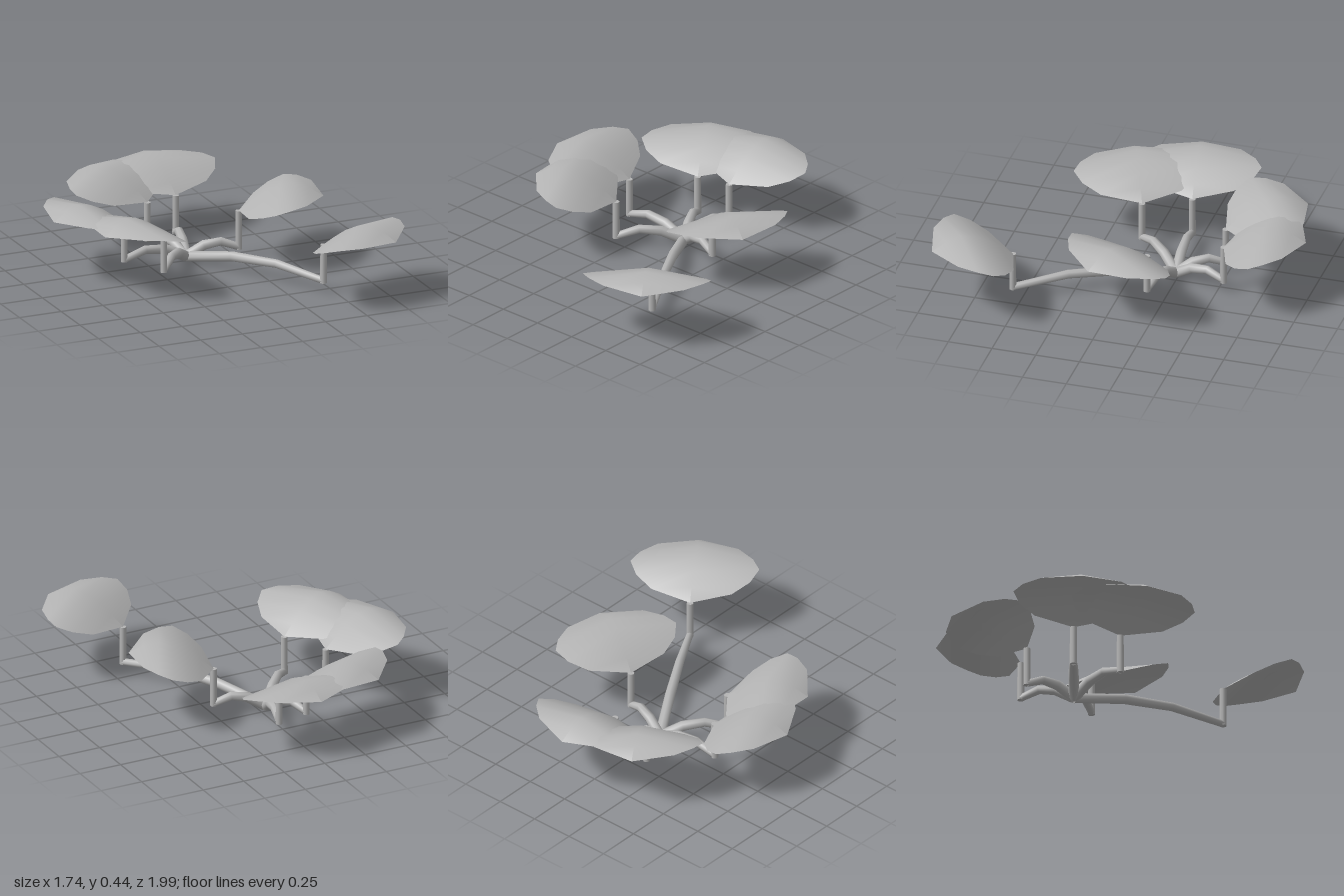
import * as THREE from 'three';
import { toCreasedNormals } from 'three/addons/utils/BufferGeometryUtils.js';

const HUB = new THREE.Vector3(-0.03, 0.03, -0.24);
const POST_TOP = 0.28;

// Each arm: where its post stands [x, z] and where its leaf tip lies [x, z]
const ARMS = [
  { foot: [0.44, 0.55], tip: [0.7, 0.93] },
  { foot: [0.25, -0.16], tip: [0.665, 0.055] },
  { foot: [0.04, -0.535], tip: [0.02, -1.0] },
  { foot: [-0.15, -0.49], tip: [-0.39, -0.89] },
  { foot: [-0.41, -0.22], tip: [-0.87, -0.14] },
  { foot: [-0.285, 0.03], tip: [-0.715, 0.205] },
];

// Leaf cross-sections: distance along, half width, ridge height, rim height
const LEAF_ROWS = [
  [0, 0, 0.28, 0.28],
  [0.067, 0.221, 0.335, 0.308],
  [0.142, 0.314, 0.39, 0.343],
  [0.225, 0.355, 0.43, 0.374],
  [0.3, 0.312, 0.445, 0.386],
  [0.385, 0.222, 0.42, 0.388],
  [0.465, 0, 0.375, 0.375],
];

// Stem rings: fraction of the way out, height, radius
const STEM_ROWS = [
  [0, 0.03, 0.03],
  [0.34, 0.09, 0.029],
  [0.66, 0.106, 0.025],
  [1, 0.07, 0.02],
];

function buildGeometry(positions, index) {
  const geo = new THREE.BufferGeometry();
  geo.setAttribute('position', new THREE.Float32BufferAttribute(positions, 3));
  geo.setIndex(index);
  geo.computeVertexNormals();
  return geo;
}

// Thin domed leaf, ridge in the middle
function leafGeometry(foot, tip) {
  const d = new THREE.Vector2(tip[0] - foot[0], tip[1] - foot[1]).normalize();
  const positions = [];
  const index = [];
  LEAF_ROWS.forEach(([u, w, ridge, rim], i) => {
    for (let j = 0; j < 3; j++) {
      const v = (j - 1) * w;
      positions.push(foot[0] + d.x * u + d.y * v, j === 1 ? ridge : rim, foot[1] + d.y * u - d.x * v);
      if (i > 0 && j < 2) {
        const a = (i - 1) * 3 + j;
        const b = a + 3;
        if (i > 1) index.push(a, b, a + 1);
        if (i < LEAF_ROWS.length - 1) index.push(a + 1, b, b + 1);
        else if (j === 1) index.push(a + 1, b, b + 1);
      }
    }
  });
  return buildGeometry(positions, index);
}

// Tapered arched stem, closed at both ends
function stemGeometry(foot) {
  const sides = 8;
  const end = new THREE.Vector3(foot[0], 0, foot[1]);
  const rows = STEM_ROWS.map(([t, y, r]) => {
    const p = HUB.clone().lerp(end, t);
    p.y = y;
    return { p, r };
  });
  const out = new THREE.Vector3(end.x - HUB.x, 0, end.z - HUB.z).normalize();
  const side = new THREE.Vector3(out.z, 0, -out.x);
  const rings = [{ p: rows[0].p, r: 0 }, ...rows, { p: rows[rows.length - 1].p, r: 0 }];
  const positions = [];
  const index = [];
  rings.forEach(({ p, r }, i) => {
    const k = Math.min(Math.max(i - 1, 0), rows.length - 1);
    const tangent = rows[Math.min(k + 1, rows.length - 1)].p.clone()
      .sub(rows[Math.max(k - 1, 0)].p).normalize();
    const normal = tangent.cross(side);
    for (let j = 0; j < sides; j++) {
      const a = (j / sides) * Math.PI * 2;
      const q = p.clone().addScaledVector(side, r * Math.cos(a)).addScaledVector(normal, r * Math.sin(a));
      positions.push(q.x, q.y, q.z);
      if (i > 0) {
        const a0 = (i - 1) * sides + j;
        const b0 = (i - 1) * sides + ((j + 1) % sides);
        index.push(a0, b0, a0 + sides, b0, b0 + sides, a0 + sides);
      }
    }
  });
  return toCreasedNormals(buildGeometry(positions, index), 0.9);
}

export function createModel() {
  const model = new THREE.Group();
  model.name = 'leafyPlant';
  const grey = new THREE.MeshStandardMaterial({ color: 0xb4b4b4, side: THREE.DoubleSide });
  grey.name = 'plain grey';

  const add = (parent, name, geometry) => {
    const mesh = new THREE.Mesh(geometry, grey);
    mesh.name = name;
    parent.add(mesh);
    return mesh;
  };

  ARMS.forEach(({ foot, tip }, i) => {
    const arm = new THREE.Group();
    arm.name = `arm${i + 1}`;
    add(arm, 'stem', stemGeometry(foot));
    // Upright post carrying the leaf
    const bottom = 0.058;
    const post = add(arm, 'post', new THREE.CylinderGeometry(0.019, 0.02, POST_TOP - bottom, 8));
    post.position.set(foot[0], (POST_TOP + bottom) / 2, foot[1]);
    add(arm, 'leaf', leafGeometry(foot, tip));
    model.add(arm);
  });
  return model;
}
